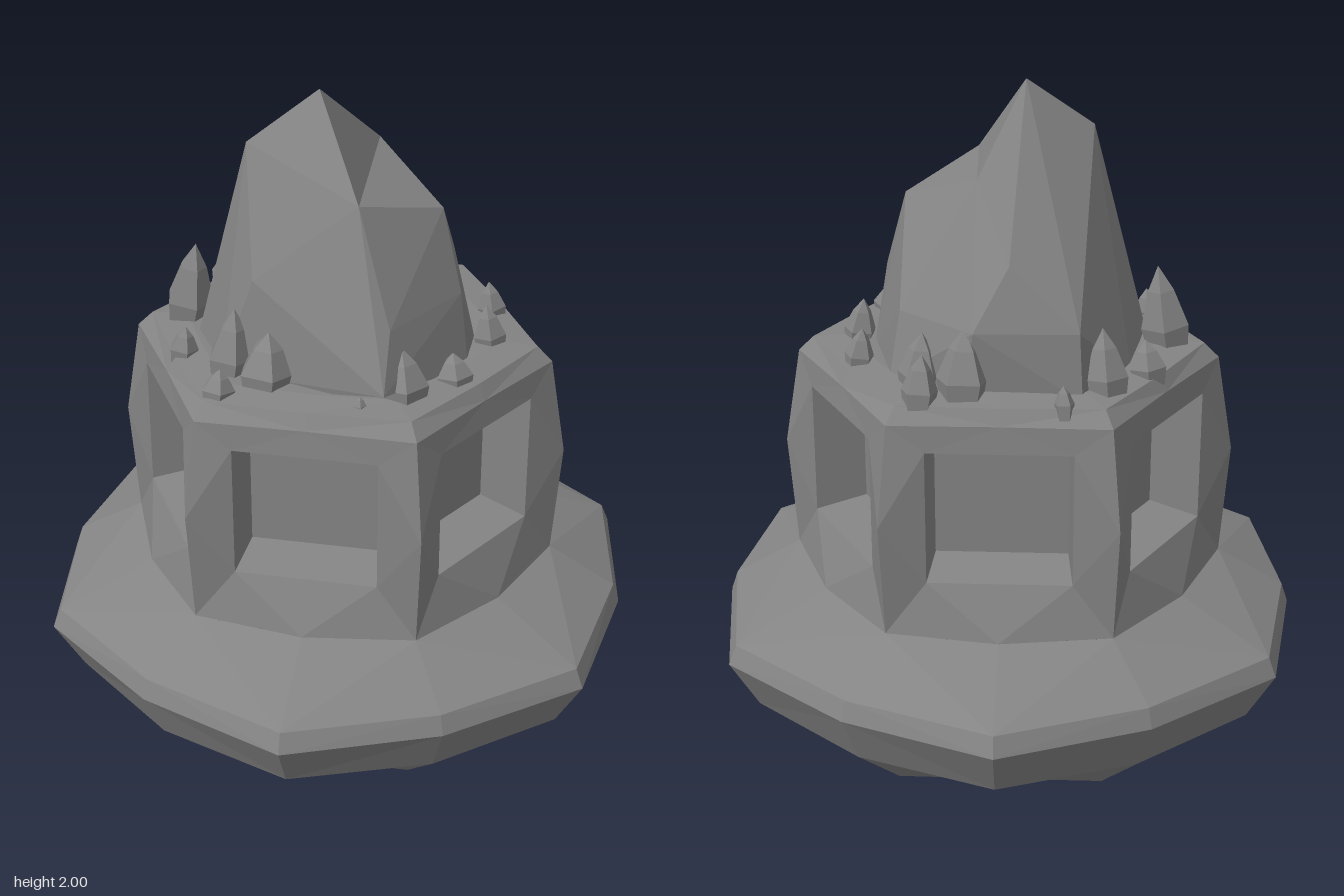
import * as THREE from 'three';
import { ConvexGeometry } from 'three/addons/geometries/ConvexGeometry.js';

const stone = new THREE.MeshStandardMaterial({ color: 0x848484, flatShading: true, side: THREE.DoubleSide });
stone.name = 'grey stone';

// Point at a polar angle (degrees) around the vertical axis
function polar(deg, r, y) {
  const a = THREE.MathUtils.degToRad(deg);
  return new THREE.Vector3(Math.cos(a) * r, y, Math.sin(a) * r);
}

// Mesh from a list of corner points, three per triangle
function triMesh(name, pts) {
  const g = new THREE.BufferGeometry().setFromPoints(pts);
  g.computeVertexNormals();
  const m = new THREE.Mesh(g, stone);
  m.name = name;
  return m;
}

// Convex rock from corner points
function rock(name, corners) {
  const m = new THREE.Mesh(new ConvexGeometry(corners.map(p => new THREE.Vector3(...p))), stone);
  m.name = name;
  return m;
}

// Twelve-point ring: hexagon corners, side middles, and the two corners on the x axis
function ring([y, corner, middle, end = corner]) {
  return Array.from({ length: 12 }, (_, k) =>
    polar(k * 30, k % 2 ? middle : k % 6 ? corner : end, y));
}

// Band of faceted triangles between successive rings
function shell(name, specs) {
  const rings = specs.map(ring), pts = [];
  for (let i = 0; i + 1 < rings.length; i++) {
    const lo = rings[i], hi = rings[i + 1];
    for (let k = 0; k < 12; k++) {
      const n = (k + 1) % 12;
      if (k % 2) pts.push(lo[k], hi[k], hi[n], lo[k], hi[n], lo[n]);
      else pts.push(lo[k], hi[k], lo[n], hi[k], hi[n], lo[n]);
    }
  }
  return triMesh(name, pts);
}

// One wall of the hexagonal body with a recessed square window, facing +z
function wallPoints() {
  const P = (x, y, z) => new THREE.Vector3(x, y, z);
  const rows = [[0.66, 0.52], [0.685, 0.87], [0.635, 1.17]];
  const column = s => rows.map(([r, y]) => P(s * r * 0.5, y, r * 0.866));
  const [a0, a1, a2] = column(-1);
  const [b0, b1, b2] = column(1);
  const m0 = P(0, 0.52, 0.62), m2 = P(0, 1.17, 0.545);
  const square = (h, y0, y1, z) => [P(-h, y0, z), P(h, y0, z), P(h, y1, z), P(-h, y1, z)];
  const w = square(0.21, 0.68, 1.09, 0.555);
  const d = square(0.195, 0.7, 1.07, 0.395);
  const pts = [
    m0, w[1], w[0], a0, m0, w[0], m0, b0, w[1],
    b0, b1, w[1], w[1], b1, w[2], b1, b2, w[2],
    b2, m2, w[2], m2, w[3], w[2], m2, a2, w[3],
    a2, a1, w[3], a1, w[0], w[3], a1, a0, w[0],
  ];
  // Recess sides and back
  for (let i = 0; i < 4; i++) {
    const j = (i + 1) % 4;
    pts.push(w[i], w[j], d[j], w[i], d[j], d[i]);
  }
  pts.push(d[0], d[1], d[2], d[0], d[2], d[3]);
  return pts;
}

export function createModel() {
  const model = new THREE.Group();
  model.name = 'stone crystal pedestal';

  // Flared base, open underneath
  model.add(shell('base', [
    [0, 0.61, 0.53, 0.66], [0.18, 0.81, 0.85], [0.34, 0.885, 0.94],
    [0.40, 0.865, 0.915], [0.52, 0.66, 0.62],
  ]));

  // Six walls with recessed windows
  const walls = new THREE.Group();
  walls.name = 'body walls';
  for (let i = 0; i < 6; i++) {
    const wall = triMesh('windowWall', wallPoints());
    wall.rotation.y = i * Math.PI / 3;
    walls.add(wall);
  }
  model.add(walls);

  // Bevelled ledge closing the top
  model.add(shell('top ledge', [
    [1.17, 0.635, 0.545], [1.215, 0.59, 0.52], [1.225, 0.48, 0.43], [1.2, 0.001, 0.001],
  ]));

  // Central crystal: a tall peak with a lower shoulder grown against its +x side
  const peakFront = [0.1, 1.74, 0.27], peakBack = [0.08, 1.77, -0.18];
  const crystal = new THREE.Group();
  crystal.name = 'main crystal';
  crystal.add(rock('peak', [
    [-0.05, 2.0, 0.07], [-0.25, 1.85, 0.13], peakFront, peakBack,
    [-0.02, 1.58, -0.37], [-0.22, 1.4, -0.42], [0.08, 1.4, -0.43], [0.21, 1.42, 0.38], [-0.2, 1.5, 0.3],
    [-0.42, 1.2, 0.1], [-0.37, 1.2, -0.2], [-0.23, 1.2, -0.43], [0.1, 1.2, -0.42],
    [0.21, 1.26, 0.47], [-0.05, 1.2, 0.38], [-0.3, 1.2, 0.3],
  ]));
  crystal.add(rock('shoulder', [
    peakFront, peakBack, [0.305, 1.66, 0.05], [0.21, 1.42, 0.38], [0.37, 1.42, 0.1],
    [0.3, 1.4, -0.25], [0.08, 1.4, -0.43], [0.1, 1.2, -0.42], [0.33, 1.2, -0.3],
    [0.4, 1.2, -0.03], [0.4, 1.2, 0.13], [0.21, 1.26, 0.47], [0.05, 1.2, 0.35],
  ]));
  model.add(crystal);

  // Small shards around the ledge: x, z, height, radius
  const shards = [
    [-0.18, -0.51, 0.07, 0.03], [0.23, -0.48, 0.14, 0.055], [0.11, -0.43, 0.2, 0.08], [0.24, -0.36, 0.16, 0.065],
    [0.43, -0.2, 0.11, 0.045], [0.45, 0, 0.13, 0.05], [0.38, 0.25, 0.09, 0.055], [0.25, 0.37, 0.15, 0.075],
    [0.14, 0.46, 0.04, 0.02], [-0.27, 0.46, 0.08, 0.05], [-0.15, 0.37, 0.16, 0.085], [-0.27, 0.32, 0.2, 0.07],
    [-0.43, 0.24, 0.09, 0.045], [-0.48, 0, 0.25, 0.075], [-0.42, -0.25, 0.11, 0.055], [-0.3, -0.38, 0.19, 0.065],
  ];
  const cluster = new THREE.Group();
  cluster.name = 'small shards';
  shards.forEach(([x, z, h, r], i) => {
    const profile = [[0.8 * r, -0.03], [r, h * 0.25], [0.55 * r, h * 0.7], [0, h]];
    const geo = new THREE.LatheGeometry(profile.map(p => new THREE.Vector2(...p)), 5, i * 1.3);
    const shard = new THREE.Mesh(geo, stone);
    shard.name = 'shard';
    shard.position.set(x, 1.21, z);
    shard.rotation.set(-z * 0.3, 0, x * 0.3);
    cluster.add(shard);
  });
  model.add(cluster);

  return model;
}
